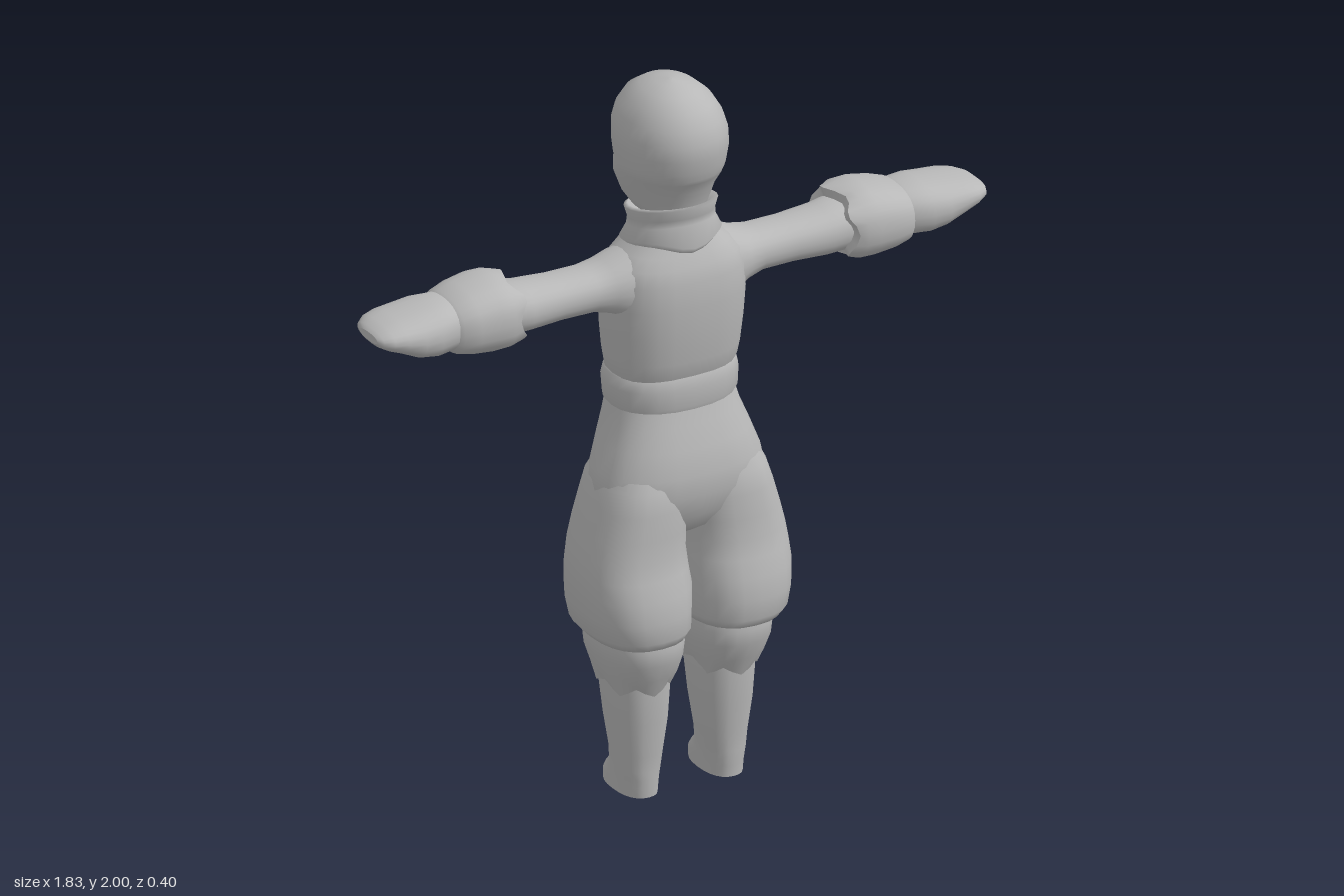
import * as THREE from 'three';

const clothGrey = new THREE.MeshStandardMaterial({ color: 0xb8b8b8 });
clothGrey.name = 'plain grey';

// Lofts rounded sections [t, u0, u1, v0, v1]. Along 'y': u = x, v = z. Along 'x': u = z, v = y.
function loft(axis, sections, { sides = 24, power = 0.9, tweak = null } = {}) {
  const pos = [], index = [];
  const soft = (c) => Math.sign(c) * Math.abs(c) ** power;
  const put = (u, v, t) => (axis === 'y' ? pos.push(u, t, v) : pos.push(t, v, u));
  const ring = ([t, u0, u1, v0, v1], row) => {
    for (let j = 0; j < sides; j++) {
      const a = (j / sides) * Math.PI * 2;
      const p = {
        u: (u0 + u1) / 2 + ((u1 - u0) / 2) * soft(Math.cos(a)),
        v: (v0 + v1) / 2 + ((v1 - v0) / 2) * soft(Math.sin(a)), t,
      };
      if (tweak) tweak(p, a, row);
      put(p.u, p.v, p.t);
    }
  };
  sections.forEach(ring);
  const last = sections.length - 1;
  for (let i = 0; i < last; i++) {
    for (let j = 0; j < sides; j++) {
      const a = i * sides + j, b = i * sides + ((j + 1) % sides);
      index.push(a, a + sides, b, b, a + sides, b + sides);
    }
  }
  // End caps have their own rings, so that the rims stay crisp
  for (const row of [0, last]) {
    const s = sections[row], start = pos.length / 3;
    ring(s, row);
    put((s[1] + s[2]) / 2, (s[3] + s[4]) / 2, s[0]);
    for (let j = 0; j < sides; j++) {
      const a = start + j, b = start + ((j + 1) % sides), c = start + sides;
      if (row === 0) index.push(c, a, b);
      else index.push(c, b, a);
    }
  }
  const geo = new THREE.BufferGeometry();
  geo.setAttribute('position', new THREE.Float32BufferAttribute(pos, 3));
  geo.setIndex(index);
  geo.computeVertexNormals();
  return geo;
}

// Copy of a geometry reflected in x, with the corner order turned round
function mirrored(geo) {
  const g = geo.clone().scale(-1, 1, 1);
  const ix = g.index.array;
  for (let i = 0; i < ix.length; i += 3) [ix[i], ix[i + 1]] = [ix[i + 1], ix[i]];
  g.computeVertexNormals();
  return g;
}

// Section that is symmetric in x
const even = (y, rx, front, back) => [y, -rx, rx, front, back];

export function createModel() {
  const model = new THREE.Group();
  model.name = 'figure';
  const add = (name, geo) => {
    const m = new THREE.Mesh(geo, clothGrey);
    m.name = name;
    model.add(m);
  };
  const pair = (name, geo) => {
    add('left' + name, geo);
    add('right' + name, mirrored(geo));
  };

  // Head, with two narrow eye slits pressed into the face
  add('head', loft('y', [
    even(1.58, 0.07, -0.07, 0.06), even(1.635, 0.08, -0.11, 0.075),
    even(1.645, 0.092, -0.15, 0.08), even(1.67, 0.106, -0.185, 0.09),
    even(1.72, 0.125, -0.2, 0.105), even(1.755, 0.135, -0.187, 0.128),
    even(1.767, 0.138, -0.181, 0.133), even(1.78, 0.14, -0.178, 0.137),
    even(1.79, 0.141, -0.182, 0.14), even(1.83, 0.145, -0.19, 0.15),
    even(1.87, 0.143, -0.193, 0.149), even(1.91, 0.131, -0.185, 0.137),
    even(1.95, 0.107, -0.16, 0.112), even(1.98, 0.073, -0.115, 0.072),
    even(1.995, 0.035, -0.065, 0.025), even(2.0, 0.004, -0.02, -0.012),
  ], {
    sides: 36, power: 0.95,
    tweak(p, a, row) {
      const x = Math.abs(p.u);
      if ((row === 6 || row === 7) && p.v < 0 && x > 0.04 && x < 0.105) p.v += 0.02;
    },
  }));

  // Collar, lower in front, with a pointed lower edge
  add('collar', loft('y', [
    even(1.575, 0.125, -0.13, 0.1), even(1.59, 0.135, -0.15, 0.115),
    even(1.625, 0.118, -0.128, 0.098), even(1.645, 0.115, -0.128, 0.1),
    even(1.675, 0.122, -0.142, 0.112), even(1.68, 0.112, -0.132, 0.102),
    even(1.66, 0.085, -0.105, 0.08),
  ], {
    power: 1,
    tweak(p, a, row) {
      p.t += 0.22 * (p.v - 0.1);
      const s = Math.sin(a);
      if (row < 2) p.t -= s < 0 ? 0.02 * s ** 6 : 0.03 * s ** 6;
    },
  }));

  // Torso
  add('torso', loft('y', [
    even(1.17, 0.165, -0.13, 0.095), even(1.2, 0.178, -0.145, 0.108),
    even(1.24, 0.184, -0.152, 0.118), even(1.32, 0.192, -0.156, 0.127),
    even(1.4, 0.196, -0.15, 0.132), even(1.47, 0.194, -0.142, 0.128),
    even(1.51, 0.18, -0.132, 0.115), even(1.54, 0.15, -0.12, 0.1),
    even(1.57, 0.115, -0.105, 0.085), even(1.6, 0.09, -0.09, 0.07),
  ], { power: 0.8 }));

  // Waistband
  add('waistband', loft('y', [
    even(1.08, 0.165, -0.14, 0.1), even(1.11, 0.182, -0.155, 0.113),
    even(1.16, 0.186, -0.157, 0.112), even(1.19, 0.179, -0.152, 0.106),
    even(1.2, 0.165, -0.138, 0.095),
  ], { power: 0.85 }));

  // Baggy trousers: a seat that flows into two full legs
  add('trouserSeat', loft('y', [
    even(0.73, 0.07, -0.07, 0.07), even(0.76, 0.14, -0.105, 0.115),
    even(0.81, 0.215, -0.13, 0.147), even(0.87, 0.246, -0.142, 0.16),
    even(0.93, 0.232, -0.147, 0.161), even(1.0, 0.207, -0.15, 0.143),
    even(1.06, 0.185, -0.15, 0.12), even(1.12, 0.17, -0.145, 0.1),
  ], { power: 0.82 }));
  pair('TrouserLeg', loft('y', [
    [0.465, 0.04, 0.24, -0.11, 0.15], [0.47, 0.018, 0.265, -0.14, 0.185],
    [0.495, 0.004, 0.286, -0.155, 0.2], [0.55, 0.001, 0.298, -0.159, 0.202],
    [0.61, -0.002, 0.302, -0.157, 0.195], [0.66, 0.002, 0.3, -0.153, 0.178],
    [0.71, 0.006, 0.293, -0.15, 0.168], [0.77, 0.002, 0.278, -0.147, 0.163],
    [0.84, 0, 0.257, -0.142, 0.16], [0.9, 0.01, 0.237, -0.135, 0.15],
    [0.98, 0.03, 0.19, -0.1, 0.11],
  ], { power: 0.82 }));

  // Boot cuffs with scalloped hems
  pair('BootCuff', loft('y', [
    [0.318, 0.046, 0.216, -0.095, 0.125], [0.36, 0.03, 0.231, -0.113, 0.147],
    [0.41, 0.018, 0.246, -0.132, 0.167], [0.45, 0.014, 0.25, -0.137, 0.172],
    [0.48, 0.02, 0.245, -0.13, 0.165],
  ], { power: 0.85, tweak(p, a, row) { if (row === 0) p.t += 0.013 * Math.cos(a * 6); } }));

  // Boots with short toes pointing to the face side
  pair('Boot', loft('y', [
    [0, 0.074, 0.182, -0.1, 0.092], [0.03, 0.072, 0.184, -0.1, 0.094],
    [0.05, 0.072, 0.185, -0.085, 0.096], [0.075, 0.07, 0.187, -0.06, 0.097],
    [0.12, 0.064, 0.191, -0.056, 0.1], [0.22, 0.05, 0.205, -0.073, 0.113],
    [0.33, 0.042, 0.214, -0.09, 0.12], [0.4, 0.05, 0.21, -0.09, 0.12],
  ], { power: 0.85 }));

  // Sleeves, flared where they join the shoulder
  pair('Sleeve', loft('x', [
    [0.1, -0.11, 0.09, 1.34, 1.555], [0.16, -0.112, 0.082, 1.36, 1.54],
    [0.2, -0.108, 0.066, 1.38, 1.522], [0.25, -0.104, 0.054, 1.393, 1.511],
    [0.35, -0.102, 0.053, 1.394, 1.512], [0.45, -0.107, 0.061, 1.39, 1.52],
    [0.49, -0.11, 0.064, 1.392, 1.527], [0.54, -0.1, 0.06, 1.4, 1.52],
  ]));

  // Padded wrist cuffs with jagged inner edges
  pair('WristCuff', loft('x', [
    [0.497, -0.138, 0.09, 1.378, 1.55], [0.53, -0.146, 0.1, 1.368, 1.562],
    [0.57, -0.145, 0.101, 1.367, 1.564], [0.63, -0.139, 0.096, 1.373, 1.553],
    [0.675, -0.128, 0.084, 1.383, 1.538], [0.695, -0.105, 0.06, 1.4, 1.518],
  ], { power: 0.82, tweak(p, a, row) { if (row === 0) p.t += 0.013 * Math.cos(a * 5); } }));

  // Mittens, tapering to flat rounded tips
  pair('Mitten', loft('x', [
    [0.66, -0.1, 0.06, 1.4, 1.52], [0.685, -0.118, 0.074, 1.395, 1.535],
    [0.74, -0.131, 0.085, 1.392, 1.534], [0.79, -0.13, 0.086, 1.402, 1.527],
    [0.84, -0.122, 0.083, 1.427, 1.522], [0.88, -0.105, 0.076, 1.445, 1.514],
    [0.905, -0.08, 0.062, 1.46, 1.504], [0.915, -0.05, 0.04, 1.472, 1.495],
  ], { power: 0.85 }));
  pair('Thumb', loft('x', [
    [0.7, -0.11, -0.06, 1.405, 1.45], [0.76, -0.138, -0.08, 1.405, 1.452],
    [0.81, -0.158, -0.105, 1.412, 1.45], [0.84, -0.163, -0.122, 1.42, 1.447],
    [0.855, -0.155, -0.135, 1.428, 1.442],
  ], { sides: 12 }));

  return model;
}
